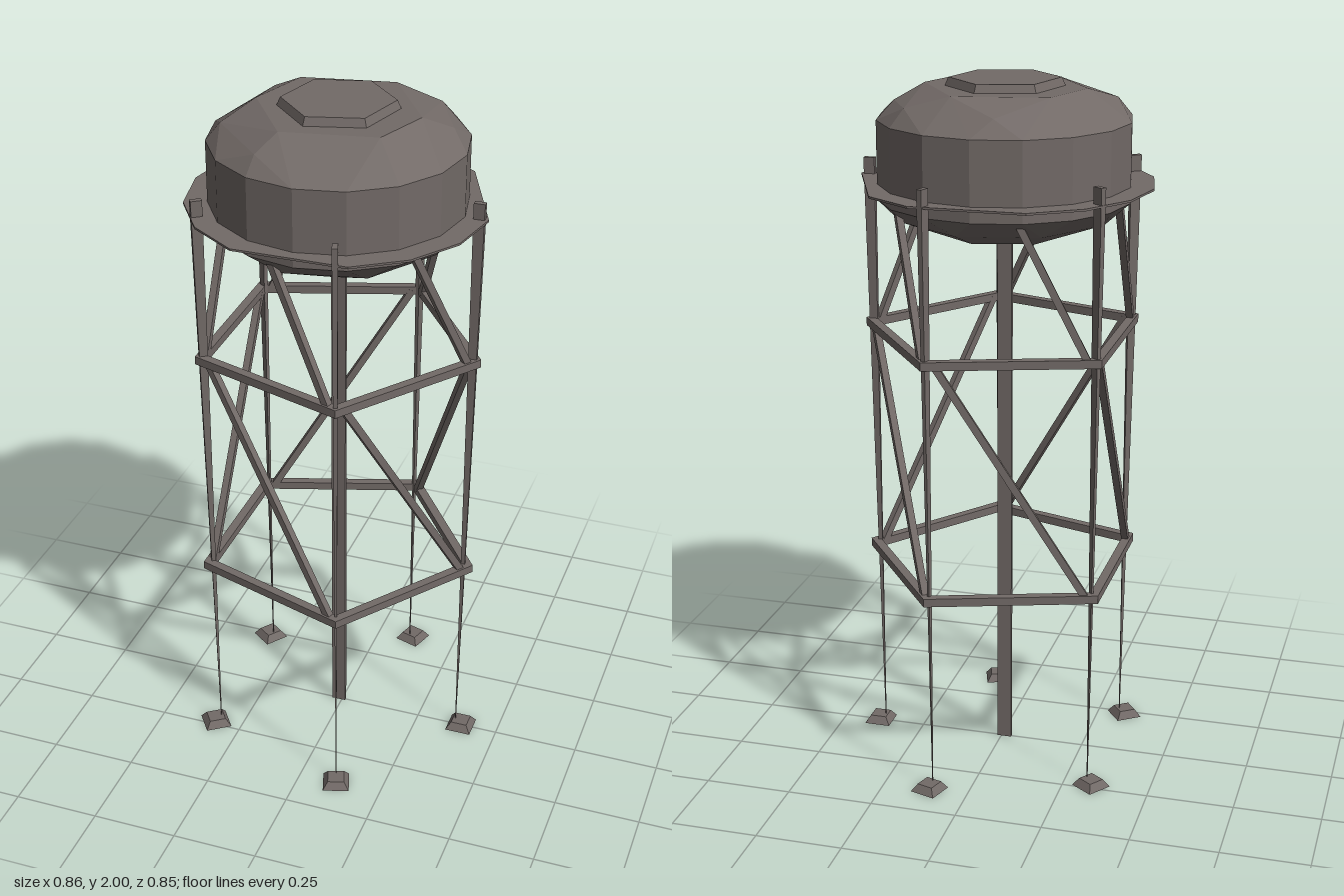
import * as THREE from 'three';
import { ConvexGeometry } from 'three/addons/geometries/ConvexGeometry.js';

const V = (x, y, z) => new THREE.Vector3(x, y, z);
const polar = (r, deg, y) => {
  const a = THREE.MathUtils.degToRad(deg);
  return V(r * Math.cos(a), y, r * Math.sin(a));
};
const ring = (r, y, n, start = 0) =>
  Array.from({ length: n }, (_, i) => polar(r, start + (i * 360) / n, y));

export function createModel() {
  const metal = new THREE.MeshStandardMaterial({ color: 0x726a67, flatShading: true });
  metal.name = 'weathered metal';

  const model = new THREE.Group();
  model.name = 'waterTower';
  const tower = new THREE.Group();
  tower.name = 'tower';
  tower.position.x = -0.01;
  model.add(tower);

  const add = (parent, name, geometry) => {
    const mesh = new THREE.Mesh(geometry, metal);
    mesh.name = name;
    parent.add(mesh);
    return mesh;
  };

  // Straight square bar between two points
  const bar = (parent, name, a, b, w) => {
    const mesh = new THREE.Mesh(new THREE.BoxGeometry(w, w, a.distanceTo(b)), metal);
    mesh.name = name;
    mesh.position.copy(a).lerp(b, 0.5);
    mesh.lookAt(b);
    parent.add(mesh);
  };

  // Box from y0 to y1 whose section changes from bottom [w, d, x] to top [w, d, x]
  const taperedBox = (y0, y1, bottom, top) => {
    const g = new THREE.BoxGeometry(1, 1, 1);
    const p = g.attributes.position;
    for (let i = 0; i < p.count; i++) {
      const up = p.getY(i) > 0;
      const [w, d, x] = up ? top : bottom;
      p.setXYZ(i, p.getX(i) * w + x, up ? y1 : y0, p.getZ(i) * d);
    }
    g.computeVertexNormals();
    return g;
  };

  // Faceted tank: upright sixteen-sided drum with rough dome and belly
  const tankPoints = [
    ...ring(0.355, 1.67, 16), ...ring(0.355, 1.89, 16),
    ...ring(0.3, 1.618, 8, 11), ...ring(0.2, 1.577, 7, 25),
    // upper rim of the dome
    V(0.23, 1.977, 0), V(0.17, 1.977, 0.165), V(-0.09, 1.977, 0.215),
    V(-0.23, 1.977, 0.01), V(-0.17, 1.977, -0.17), V(0.09, 1.977, -0.22),
    // shoulder of the dome
    V(0.22, 1.94, -0.22), V(-0.29, 1.94, 0.12), V(-0.25, 1.94, -0.18),
    V(-0.05, 1.937, -0.3), V(-0.13, 1.935, 0.28), V(0.3, 1.935, -0.06),
  ];
  add(tower, 'tank', new ConvexGeometry(tankPoints));

  // Hexagonal hatch on the dome
  const hatch = add(tower, 'hatch', new THREE.CylinderGeometry(0.155, 0.168, 0.03, 6));
  hatch.position.y = 1.985;
  hatch.rotation.y = THREE.MathUtils.degToRad(-15);

  // Thin walkway, a sixteen-sided plate with a few corners cut off
  const cut = [4, 12, 15];
  const outline = ring(0.42, 0, 16)
    .filter((_, i) => !cut.includes(i))
    .map((p) => new THREE.Vector2(p.x, p.z));
  const plate = new THREE.Shape(outline);
  plate.holes.push(new THREE.Path(ring(0.33, 0, 16).map((p) => new THREE.Vector2(p.x, p.z))));
  const walkway = add(tower, 'walkway',
    new THREE.ExtrudeGeometry(plate, { depth: 0.006, bevelEnabled: false }));
  walkway.rotation.x = Math.PI / 2;
  walkway.position.y = 1.714;

  // Flat riser pipe under the tank
  const riser = add(tower, 'riserPipe', new THREE.BoxGeometry(0.042, 1.6, 0.012));
  riser.position.y = 0.8;

  // Five-sided girts around the legs
  for (const y of [0.592, 1.28]) {
    const h = 0.012;
    const profile = [[0.415, -h], [0.415, h], [0.383, h], [0.383, -h], [0.415, -h]]
      .map(([r, py]) => new THREE.Vector2(r, py));
    add(tower, 'girt', new THREE.LatheGeometry(profile, 5, Math.PI / 2)).position.y = y;
  }

  // Five bays, each with a footing, a tapered leg and two diagonal braces
  for (let k = 0; k < 5; k++) {
    const bay = new THREE.Group();
    bay.name = 'bay';
    bay.rotation.y = -k * Math.PI * 0.4;
    tower.add(bay);

    add(bay, 'footing', taperedBox(0, 0.022, [0.077, 0.077, 0.398], [0.048, 0.048, 0.398]));
    add(bay, 'leg', taperedBox(0.015, 1.76, [0.002, 0.002, 0.381], [0.032, 0.016, 0.395]));

    const along = (t, y) => polar(0.395, 0, y).lerp(polar(0.395, 72, y), t);
    bar(bay, 'lowerBrace', along(0.05, 0.595), along(0.95, 1.28), 0.02);
    bar(bay, 'upperBrace', along(0.05, 1.28), along(0.5, 1.7), 0.02);
  }

  return model;
}
